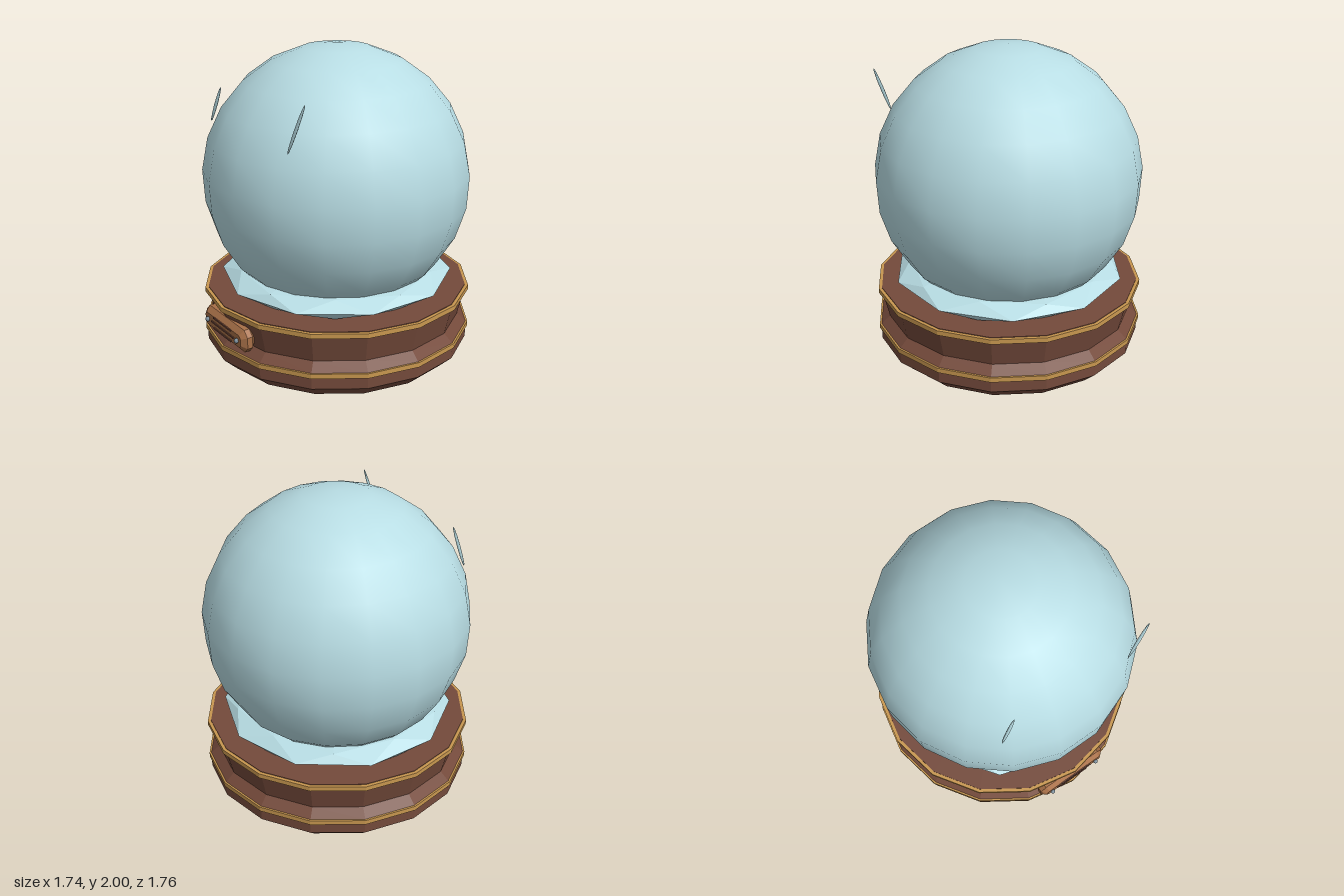
import * as THREE from 'three';

const mat = (name, color) => {
  const m = new THREE.MeshStandardMaterial({ color });
  m.name = name;
  return m;
};

// give every face its own normal
function faceted(geo) {
  const g = geo.index ? geo.toNonIndexed() : geo;
  g.computeVertexNormals();
  return g;
}

const turned = (points, sides) =>
  faceted(new THREE.LatheGeometry(points.map(p => new THREE.Vector2(p[0], p[1])), sides));

export function createModel() {
  const wood = mat('brown wood', 0x744a3b);
  const gold = mat('gold trim', 0xc8974f);
  const ice = mat('pale blue', 0xb8dde4);
  const copper = mat('copper plaque', 0xa87048);
  const steel = mat('steel', 0x7d8f9c);

  const model = new THREE.Group();
  const body = new THREE.Group();
  body.name = 'globeAndBase';
  body.position.z = -0.008;
  model.add(body);

  const add = (name, geo, material, x = 0, y = 0, z = 0, parent = body) => {
    const mesh = new THREE.Mesh(geo, material);
    mesh.name = name;
    mesh.position.set(x, y, z);
    parent.add(mesh);
    return mesh;
  };

  // sixteen-sided turned base
  add('base', turned([
    [0, 0], [0.775, 0], [0.86, 0.08], [0.86, 0.186], [0.802, 0.238],
    [0.845, 0.42], [0.845, 0.45], [0, 0.45],
  ], 16), wood);

  // gold bands
  for (const [name, r, y0, y1] of [['lowerBand', 0.872, 0.155, 0.186], ['upperBand', 0.866, 0.415, 0.446]]) {
    add(name, turned([[0.8, y0], [r, y0], [r, y1], [0.8, y1]], 16), gold);
  }

  // faceted snow mound under the globe
  const snow = new THREE.IcosahedronGeometry(0.75, 1);
  snow.rotateZ(-Math.atan(2 / (1 + Math.sqrt(5))));
  snow.scale(1, 0.15, 1);
  add('snowMound', faceted(snow), ice, 0, 0.505, 0);

  // glass globe, open at the hidden bottom
  add('globe', new THREE.SphereGeometry(0.853, 18, 10, 0, Math.PI * 2, 0, 2.505), ice, 0, 1.147, 0);

  // slim glints floating before the glass
  const glints = [
    [[-0.45, 1.5, 0.637], [-0.35, 1.735, 0.615]],
    [[0.45, 1.5, 0.643], [0.585, 1.81, 0.61]],
  ];
  for (const [a, b] of glints) {
    const from = new THREE.Vector3(...a), to = new THREE.Vector3(...b);
    const dir = to.clone().sub(from);
    const geo = new THREE.SphereGeometry(1, 6, 6);
    geo.scale(0.012, dir.length() / 2, 0.01);
    const c = from.clone().add(to).multiplyScalar(0.5);
    const glint = add('glint', geo, ice, c.x, c.y, c.z, model);
    glint.quaternion.setFromUnitVectors(new THREE.Vector3(0, 1, 0), dir.normalize());
  }

  // bevelled plaque with clipped corners
  const plaque = new THREE.Group();
  plaque.name = 'plaque';
  plaque.position.set(0, 0.298, 0);
  model.add(plaque);
  const w = 0.222, h = 0.04, c = 0.018;
  const outline = new THREE.Shape([
    [-w + c, -h], [w - c, -h], [w, -h + c], [w, h - c],
    [w - c, h], [-w + c, h], [-w, h - c], [-w, -h + c],
  ].map(p => new THREE.Vector2(...p)));
  const plate = new THREE.ExtrudeGeometry(outline, {
    depth: 0.035, bevelEnabled: true, bevelSegments: 1, bevelSize: 0.034, bevelThickness: 0.03,
  });
  add('plaquePlate', faceted(plate), copper, 0, 0, 0.79, plaque);

  // engraved bars and screws
  for (const [y, width] of [[0.036, 0.22], [0, 0.28], [-0.036, 0.22]]) {
    add('plaqueBar', new THREE.BoxGeometry(width, 0.011, 0.008), wood, 0, y, 0.857, plaque);
  }
  for (const side of [-1, 1]) {
    add('screw', new THREE.SphereGeometry(0.016, 8, 6), steel, side * 0.182, 0, 0.862, plaque);
  }

  return model;
}
